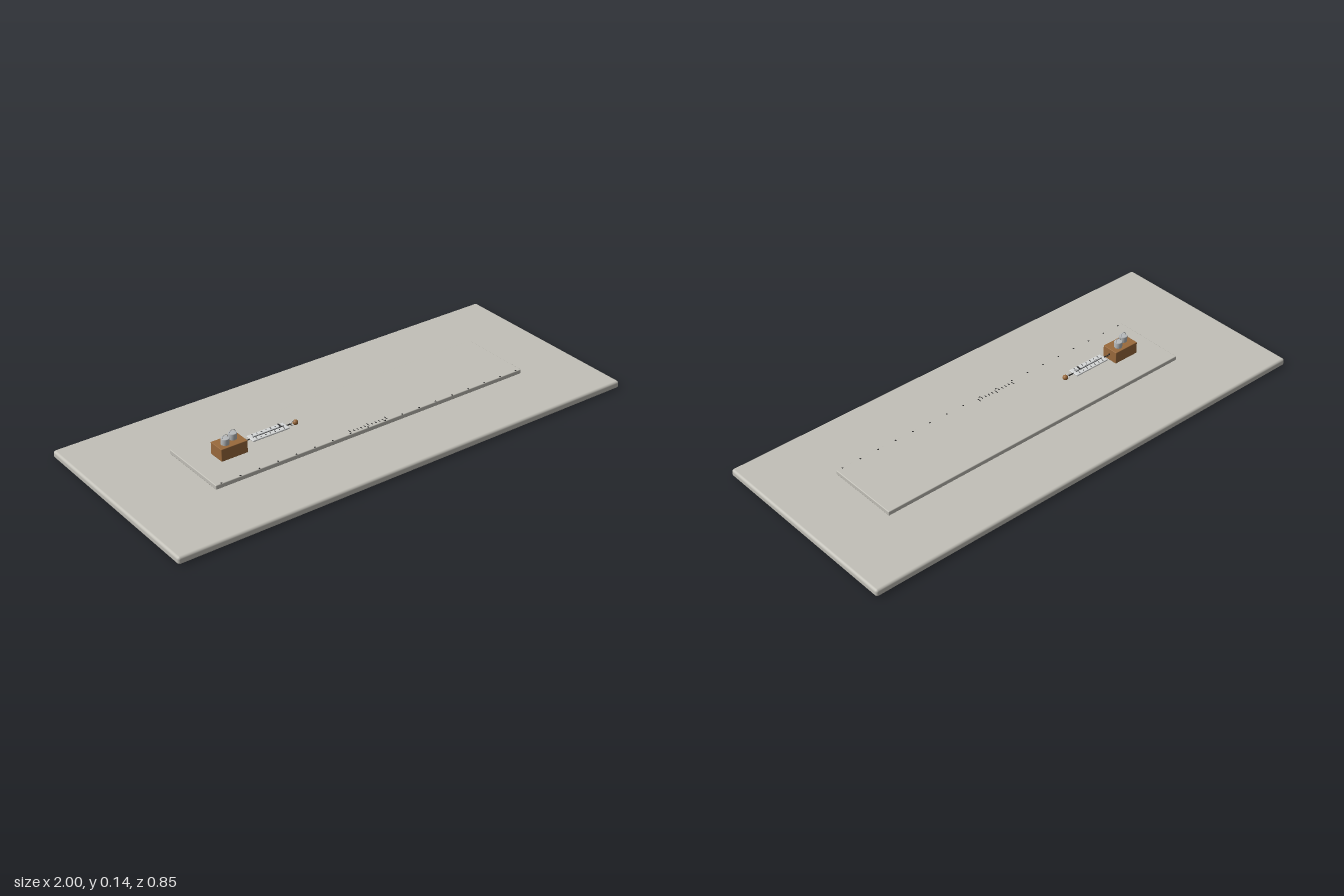
import * as THREE from 'three';
import { RoundedBoxGeometry } from 'three/addons/geometries/RoundedBoxGeometry.js';

const mat = (name, color) => new THREE.MeshStandardMaterial({ name, color });

export function createModel() {
  const root = new THREE.Group();
  root.name = 'frictionBench';
  const stone = mat('warm grey', 0xc2c0b8);
  const wood = mat('wood', 0x9a6a3c);
  const steel = mat('steel', 0xb9bcbe);
  const dark = mat('dark metal', 0x2e2e2e);
  const pale = mat('pale grey', 0xd6d8d8);

  const add = (name, geo, material, x, y, z, parent = root) => {
    const m = new THREE.Mesh(geo, material);
    m.name = name;
    m.position.set(x, y, z);
    parent.add(m);
    return m;
  };
  const box = (name, material, w, h, d, x, y, z, parent) =>
    add(name, new THREE.BoxGeometry(w, h, d), material, x, y, z, parent);
  // Rod lying along x
  const rod = (name, material, r, x0, x1, y, z, parent) => {
    const m = add(name, new THREE.CylinderGeometry(r, r, x1 - x0, 16), material, (x0 + x1) / 2, y, z, parent);
    m.rotation.z = Math.PI / 2;
    return m;
  };

  // Table slab and raised track
  add('tableTop', new RoundedBoxGeometry(2, 0.03, 0.85, 4, 0.01), stone, 0, 0.015, 0);
  add('track', new RoundedBoxGeometry(1.41, 0.018, 0.304, 2, 0.003), stone, 0.03, 0.039, 0);

  // Scale marks along the front edge of the track
  const marks = new THREE.Group();
  marks.name = 'trackScale';
  root.add(marks);
  for (let i = 0; i <= 10; i++) {
    const long = i % 5 === 0 ? 0.018 : 0.011;
    box('fineMark', dark, 0.003, 0.001, long, -0.082 + i * 0.0165, 0.0484, 0.143 - long / 2, marks);
  }
  for (let i = 0; i <= 17; i++)
    box('edgeMark', dark, 0.005, 0.002, 0.005, -0.65 + i * 0.08, 0.0483, 0.148, marks);

  // Wooden block
  add('block', new RoundedBoxGeometry(0.112, 0.05, 0.07, 2, 0.002), wood, -0.518, 0.0745, 0);

  // Weights with a wire handle on each
  const profile = [[0, 0], [0.015, 0], [0.016, 0.001], [0.016, 0.023], [0.0145, 0.025], [0, 0.025]]
    .map(([r, y]) => new THREE.Vector2(r, y));
  for (const [x, z] of [[-0.54, 0.008], [-0.498, -0.008]]) {
    const g = new THREE.Group();
    g.name = 'weight';
    g.position.set(x, 0.0995, z);
    root.add(g);
    add('weightBody', new THREE.LatheGeometry(profile, 32), steel, 0, 0, 0, g);
    add('weightHandle', new THREE.TorusGeometry(0.0125, 0.0012, 8, 24, Math.PI), steel, 0, 0.025, 0, g);
  }

  // Screw eye on the block and hook joining it to the spring balance
  rod('screwShank', dark, 0.002, -0.463, -0.452, 0.076, 0);
  add('screwEye', new THREE.TorusGeometry(0.007, 0.0018, 8, 24), wood, -0.455, 0.076, 0);
  rod('hookRod', dark, 0.002, -0.452, -0.425, 0.076, 0);

  // Spring balance
  const balance = new THREE.Group();
  balance.name = 'springBalance';
  root.add(balance);
  add('balancePlate', new RoundedBoxGeometry(0.16, 0.007, 0.046, 2, 0.003), pale, -0.35, 0.0765, 0, balance);
  box('balanceSlot', dark, 0.136, 0.001, 0.008, -0.35, 0.0804, 0, balance);
  rod('balanceSpring', steel, 0.0025, -0.418, -0.282, 0.081, 0, balance);
  for (const s of [-1, 1])
    for (let i = 0; i < 7; i++)
      box('balanceMark', dark, 0.003, 0.001, i % 2 ? 0.005 : 0.008, -0.41 + i * 0.02, 0.0803, s * 0.014, balance);
  box('pointer', dark, 0.004, 0.002, 0.024, -0.3, 0.088, 0, balance);
  box('pointerStem', dark, 0.003, 0.008, 0.003, -0.3, 0.084, 0, balance);

  // Pull rod, ring and wooden knob
  rod('pullRod', dark, 0.0025, -0.275, -0.248, 0.0765, 0, balance);
  add('pullRing', new THREE.TorusGeometry(0.009, 0.002, 8, 24), pale, -0.243, 0.0765, 0, balance);
  add('pullKnob', new THREE.SphereGeometry(0.0105, 24, 16), wood, -0.23, 0.0765, 0, balance);

  return root;
}
